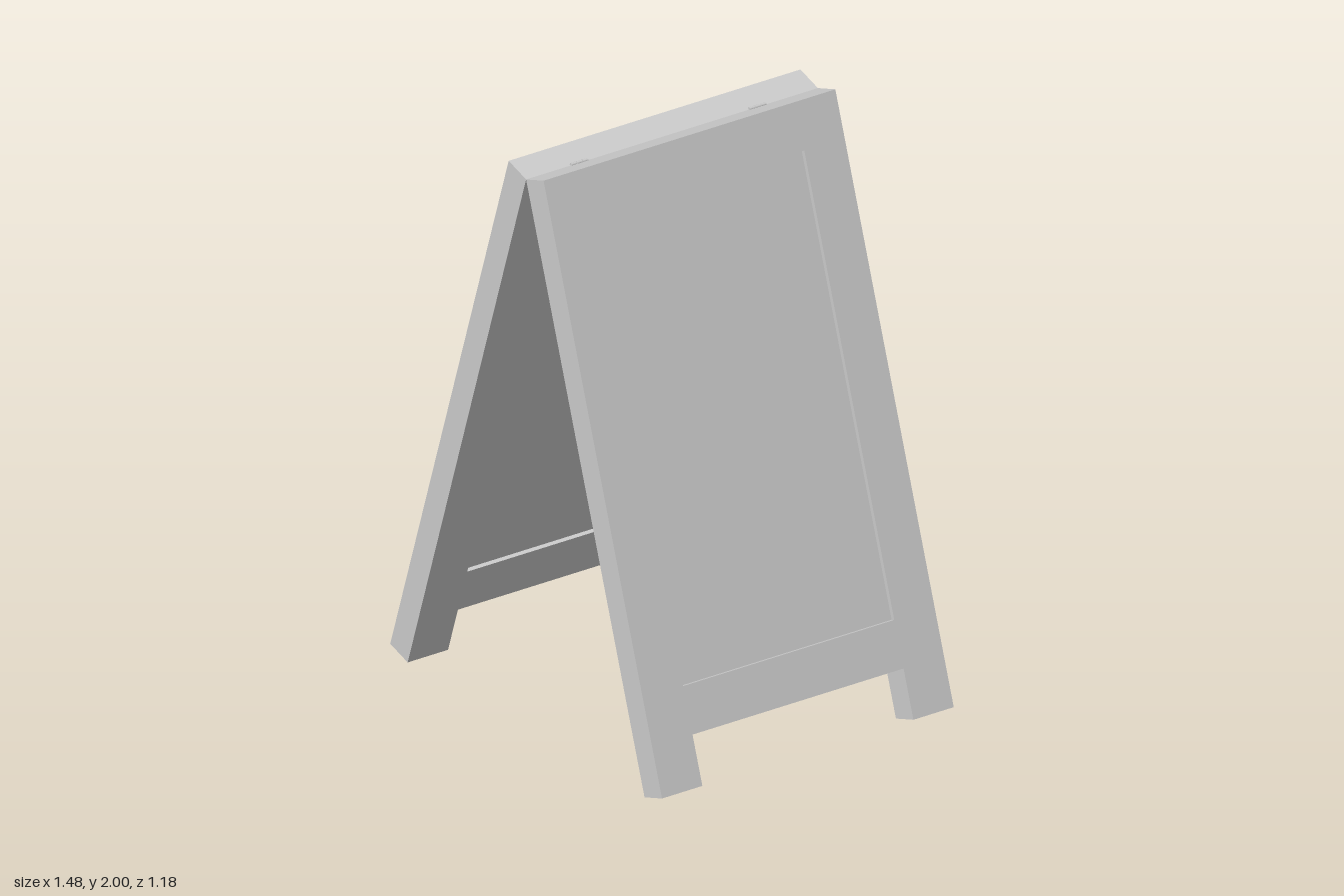
import * as THREE from 'three';

const TILT = 0.3164;      // lean of each board from vertical
const THICK = 0.1;
const LENGTH = 2.072;
const HALF_W = 0.589;
const OPEN_W = 0.426;     // half width between the stiles
const HINGE_Y = LENGTH * Math.cos(TILT);
const material = new THREE.MeshStandardMaterial({ color: 0xcccccc });

function named(name, geometry) {
  const mesh = new THREE.Mesh(geometry, material);
  mesh.name = name;
  return mesh;
}

// One board, hanging down from its hinge edge, thickness along +x
function makeBoard(name) {
  const board = new THREE.Group();
  board.name = name;

  // Frame: stiles running down into legs, top rail and raised bottom rail
  const outline = new THREE.Shape([
    [-HALF_W, 0], [-HALF_W, -LENGTH], [-OPEN_W, -LENGTH], [-OPEN_W, -1.9],
    [OPEN_W, -1.9], [OPEN_W, -LENGTH], [HALF_W, -LENGTH], [HALF_W, 0],
  ].map(([x, y]) => new THREE.Vector2(x, y)));
  const top = -0.163, bottom = -1.737;
  outline.holes.push(new THREE.Path([
    [-OPEN_W, top], [OPEN_W, top], [OPEN_W, bottom], [-OPEN_W, bottom],
  ].map(([x, y]) => new THREE.Vector2(x, y))));
  const frame = new THREE.ExtrudeGeometry(outline, { depth: THICK, bevelEnabled: false });
  frame.rotateY(Math.PI / 2);
  board.add(named('frame', frame));

  // Writing panel, recessed on both faces
  const panel = named('panel', new THREE.BoxGeometry(THICK - 0.03, top - bottom, OPEN_W * 2));
  panel.position.set(THICK / 2, (top + bottom) / 2, 0);
  board.add(panel);

  board.rotation.z = TILT;
  board.position.y = HINGE_Y;
  return board;
}

// Small three-knuckle barrel lying along the ridge
function makeHinge(z) {
  const hinge = new THREE.Group();
  hinge.name = 'hinge';
  for (let i = -1; i <= 1; i++) {
    const knuckle = named('knuckle', new THREE.CylinderGeometry(0.006, 0.006, 0.021, 12));
    knuckle.rotation.x = Math.PI / 2;
    knuckle.position.z = i * 0.023;
    hinge.add(knuckle);
  }
  const pin = named('hingePin', new THREE.CylinderGeometry(0.004, 0.004, 0.068, 10));
  pin.rotation.x = Math.PI / 2;
  hinge.add(pin);
  hinge.position.set(0, HINGE_Y + 0.002, z);
  return hinge;
}

export function createModel() {
  const model = new THREE.Group();
  model.name = 'sandwichBoard';

  // Two identical boards leaning against each other
  model.add(makeBoard('leftBoard'));
  const opposite = new THREE.Group();
  opposite.name = 'rightSide';
  opposite.add(makeBoard('rightBoard'));
  opposite.rotation.y = Math.PI;
  model.add(opposite);

  for (const z of [-0.345, 0.375]) model.add(makeHinge(z));
  return model;
}
